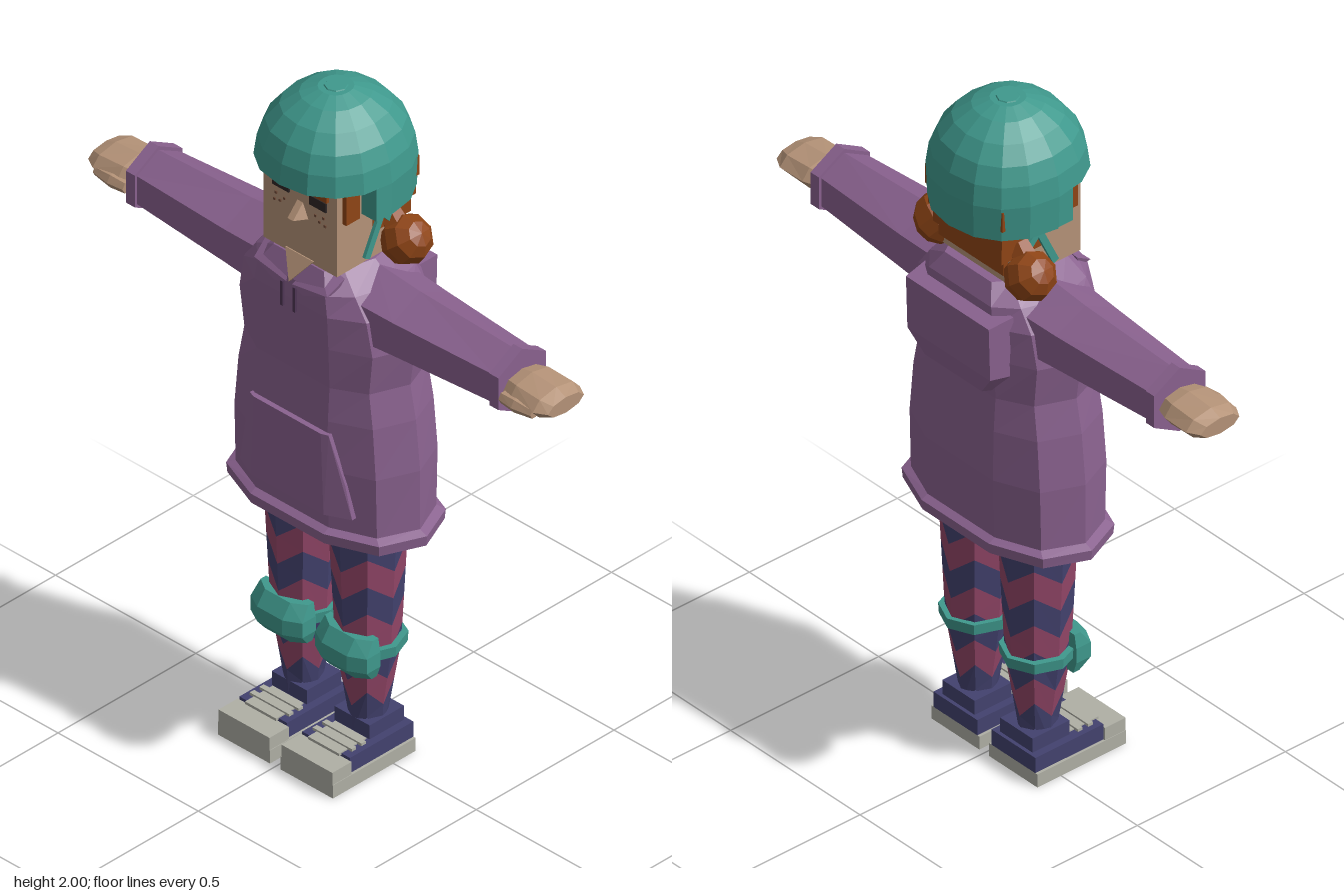
import * as THREE from 'three';
import { ConvexGeometry } from 'three/addons/geometries/ConvexGeometry.js';

const V = (x, y, z) => new THREE.Vector3(x, y, z);
const paint = (name, color) => {
  const m = new THREE.MeshStandardMaterial({ color, side: THREE.DoubleSide });
  m.name = name;
  return m;
};

// Flat-shaded copy of a geometry
function flat(geo) {
  const g = geo.index ? geo.toNonIndexed() : geo;
  g.computeVertexNormals();
  return g;
}

// Skin between rings of points, flat shaded; keep(row, column) picks the faces
function loft(rings, { bottom = true, top = true, keep = () => true } = {}) {
  const p = [], n = rings[0].length;
  const tri = (...vs) => vs.forEach(v => p.push(v.x, v.y, v.z));
  const mid = r => r.reduce((s, v) => s.add(v), V(0, 0, 0)).divideScalar(n);
  for (let k = 0; k < rings.length - 1; k++) for (let i = 0; i < n; i++) {
    if (!keep(k, i)) continue;
    const j = (i + 1) % n, a = rings[k], b = rings[k + 1];
    tri(a[i], a[j], b[j]);
    tri(a[i], b[j], b[i]);
  }
  const first = rings[0], last = rings[rings.length - 1];
  for (let i = 0; i < n; i++) {
    const j = (i + 1) % n;
    if (bottom) tri(mid(first), first[j], first[i]);
    if (top) tri(mid(last), last[i], last[j]);
  }
  const g = new THREE.BufferGeometry();
  g.setAttribute('position', new THREE.Float32BufferAttribute(p, 3));
  return flat(g);
}

// Ring of n points; pow below 1 squares it off
function ring(n, y, rx, rz, start = 0, pow = 1) {
  const f = v => Math.sign(v) * Math.abs(v) ** pow;
  return Array.from({ length: n }, (_, i) => {
    const t = start + i / n * Math.PI * 2;
    return V(rx * f(Math.sin(t)), y, rz * f(Math.cos(t)));
  });
}

// Hoodie cross-section: flat front and back, pointed sides
function bodyRing(y, w, d, a = 0.13) {
  const half = [[a, d], [w * 0.84, d * 0.68], [w, 0], [w * 0.84, -d * 0.68], [a, -d]];
  return [...half, ...half.map(([x, z]) => [-x, z]).reverse()].map(([x, z]) => V(x, y, z));
}

const block = (x, y, z, w, h, d) => flat(new THREE.BoxGeometry(w, h, d).translate(x, y, z));
const hull = pts => new ConvexGeometry(pts.map(p => V(...p)));

// Copy of a geometry on the other side of x = 0
function mirrored(geo) {
  const g = (geo.index ? geo.toNonIndexed() : geo.clone()).scale(-1, 1, 1), p = g.attributes.position;
  for (let i = 0; i < p.count; i += 3) {
    const a = V().fromBufferAttribute(p, i + 1), b = V().fromBufferAttribute(p, i + 2);
    p.setXYZ(i + 1, b.x, b.y, b.z);
    p.setXYZ(i + 2, a.x, a.y, a.z);
  }
  g.computeVertexNormals();
  return g;
}

export function createModel() {
  const model = new THREE.Group();
  model.name = 'skaterChild';
  const purple = paint('hoodiePurple', 0x8a628f), teal = paint('teal', 0x3f998d);
  const skin = paint('skin', 0xb59378), hair = paint('hairOrange', 0x8f4516);
  const navy = paint('navy', 0x43426f), pink = paint('pink', 0x934668);
  const grey = paint('soleGrey', 0xafafa5), dark = paint('dark', 0x2e2626);
  const freckleTone = paint('freckle', 0x6e4a38), cord = paint('cordPurple', 0x4f3655);

  const add = (name, geo, mat) => {
    const m = new THREE.Mesh(geo, mat);
    m.name = name;
    model.add(m);
  };
  const both = (name, geo, mat) => {
    add(name + 'Left', geo, mat);
    add(name + 'Right', mirrored(geo), mat);
  };

  // Hoodie, open at the bottom, with a thick hem
  add('hoodieBody', loft([
    bodyRing(0.75, 0.3, 0.158), bodyRing(0.95, 0.3, 0.165), bodyRing(1.1, 0.285, 0.162),
    bodyRing(1.2, 0.265, 0.156), bodyRing(1.32, 0.282, 0.16), bodyRing(1.42, 0.26, 0.165),
    bodyRing(1.48, 0.21, 0.162, 0.12), bodyRing(1.53, 0.14, 0.135, 0.09),
  ], { bottom: false }), purple);
  add('hem', loft([bodyRing(0.735, 0.28, 0.14), bodyRing(0.73, 0.322, 0.175), bodyRing(0.76, 0.325, 0.178),
    bodyRing(0.772, 0.295, 0.157)], { bottom: false, top: false }), purple);
  const pocket = [];
  for (const s of [-1, 1]) for (const z of [0, 0.03]) pocket.push(
    [s * 0.2, 0.82, 0.115 + z], [s * 0.18, 0.92, 0.12 + z], [s * 0.14, 1.065, 0.14 + z],
    [s * 0.13, 0.82, 0.148 + z], [s * 0.12, 1.065, 0.148 + z]);
  add('pocket', hull(pocket), purple);

  // Hood hanging on the back, with a rolled collar and cords in front
  const hood = [];
  for (const s of [-1, 1]) hood.push([s * 0.16, 1.45, -0.205], [s * 0.16, 1.29, -0.2], [s * 0.11, 1.225, -0.185],
    [s * 0.17, 1.46, -0.13], [s * 0.17, 1.28, -0.13], [s * 0.12, 1.215, -0.14]);
  add('hood', hull(hood), purple);
  both('collar', hull([[0.045, 1.54, 0.11], [0.14, 1.52, 0.11], [0.13, 1.485, 0.165], [0.05, 1.455, 0.172],
    [0.01, 1.47, 0.17], [0.05, 1.46, 0.14], [0.13, 1.48, 0.13]]), purple);
  both('cord', block(0.022, 1.43, 0.172, 0.008, 0.075, 0.008), cord);
  add('neckline', hull([[-0.05, 1.54, 0.133], [0.05, 1.54, 0.133], [0, 1.475, 0.172],
    [-0.05, 1.54, 0.1], [0.05, 1.54, 0.1], [0, 1.47, 0.14]]), skin);

  // Arms stretched sideways: lofted upright, then laid along x
  const lay = g => g.rotateZ(-Math.PI / 2).translate(0, 1.405, 0);
  const hex = (x, ry, rz) => ring(6, x, ry, rz, Math.PI / 6);
  both('sleeve', lay(loft([hex(0.14, 0.115, 0.125), hex(0.3, 0.1, 0.115), hex(0.64, 0.086, 0.09)])), purple);
  both('cuff', lay(loft([hex(0.632, 0.098, 0.1), hex(0.664, 0.098, 0.1)])), purple);
  both('hand', lay(loft([ring(8, 0.65, 0.035, 0.065), ring(8, 0.7, 0.044, 0.083),
    ring(8, 0.785, 0.038, 0.085), ring(8, 0.82, 0.024, 0.065)])), skin);
  const thumb = loft([ring(6, 0.67, 0.018, 0.018), ring(6, 0.72, 0.022, 0.024), ring(6, 0.78, 0.014, 0.014)]);
  both('thumb', lay(thumb).translate(0, -0.01, 0.075), skin);

  // Head and face
  add('head', block(0, 1.665, 0.01, 0.262, 0.27, 0.24), skin);
  add('neck', block(0, 1.5, -0.01, 0.14, 0.1, 0.14), skin);
  add('nose', hull([[-0.01, 1.705, 0.128], [0.01, 1.705, 0.128], [-0.03, 1.66, 0.128], [0.03, 1.66, 0.128],
    [-0.01, 1.663, 0.166], [0.01, 1.663, 0.166]]), skin);
  both('eyebrow', block(0.066, 1.76, 0.134, 0.072, 0.026, 0.009), hair);
  both('eye', block(0.066, 1.727, 0.132, 0.06, 0.028, 0.006), dark);
  for (const [x, y] of [[0.055, 1.685], [0.07, 1.672], [0.085, 1.69], [0.09, 1.668]])
    both('freckle', block(x, y, 0.131, 0.007, 0.007, 0.004), freckleTone);

  // Hair in stepped layers, sideburns and two low buns
  [[1.75, 0.3, 0.15], [1.69, 0.285, 0.145], [1.635, 0.265, 0.137], [1.592, 0.25, 0.125]].forEach(([y, w, back]) =>
    add('backHair', block(0, y, -back / 2, w, 0.06, back), hair));
  both('sideburn', block(0.137, 1.735, 0.085, 0.016, 0.1, 0.05), hair);
  const bun = new THREE.SphereGeometry(0.07, 8, 6).rotateZ(-0.9).translate(0.175, 1.568, -0.078);
  both('bun', flat(bun), hair);
  both('bunRoot', flat(new THREE.CylinderGeometry(0.03, 0.04, 0.08, 6).rotateZ(0.7).translate(0.14, 1.61, -0.07)), hair);

  // Helmet: squared dome, lower at the back, with ear flaps and straps
  const shell = [[1.79, 0.2], [1.85, 0.192], [1.9, 0.173], [1.945, 0.138], [1.98, 0.09], [1.997, 0.045]];
  const cap = (y, r) => ring(16, y, r, r * 1.03, 0, 0.9);
  add('helmetDome', loft(shell.map(([y, r]) => cap(y, r))), teal);
  add('helmetBack', loft([cap(1.79, 0.175), cap(1.69, 0.175), cap(1.69, 0.196), cap(1.79, 0.2)],
    { bottom: false, top: false, keep: (k, i) => i >= 4 && i < 12 }), teal);
  add('helmetTopVent', flat(new THREE.CylinderGeometry(0.03, 0.035, 0.008, 8).translate(0, 1.996, 0)), teal);
  both('earFlap', block(0.167, 1.742, 0.02, 0.054, 0.1, 0.06), teal);
  const strap = (y, z, len, tilt) =>
    flat(new THREE.BoxGeometry(0.01, len, 0.02).rotateX(tilt).translate(0.142, y, z));
  both('frontStrap', strap(1.62, 0.0, 0.16, -0.45), teal);
  both('backStrap', strap(1.64, -0.045, 0.11, 0.75), teal);

  // Legs: zigzag bands in two colours
  const sizes = [[0.08, 0.048, 0.055], [0.14, 0.05, 0.057], [0.33, 0.08, 0.088], [0.75, 0.102, 0.107], [1, 0.102, 0.107]];
  const girth = y => {
    const i = Math.max(1, sizes.findIndex(s => s[0] >= y)), [a, b] = [sizes[i - 1], sizes[i]];
    const t = (y - a[0]) / (b[0] - a[0]);
    return [a[1] + (b[1] - a[1]) * t, a[2] + (b[2] - a[2]) * t];
  };
  const bands = Array.from({ length: 10 }, (_, k) => Array.from({ length: 8 }, (_, i) => {
    const y = 0.08 + 0.086 * k + (i % 2 ? 0.055 : 0);
    return ring(8, y, ...girth(y))[i];
  }));
  [['navyBands', navy, 0], ['pinkBands', pink, 1]].forEach(([name, mat, odd]) =>
    both(name, loft(bands, { bottom: false, top: false, keep: k => k % 2 === odd }).translate(0.115, 0, 0), mat));

  // Knee pads with a strap round the leg
  both('kneeStrap', loft([ring(8, 0.335, 0.096, 0.102), ring(8, 0.366, 0.098, 0.104)]).translate(0.117, 0, 0), teal);
  const pad = [];
  for (const s of [-1, 1]) for (const [y, z, w] of [[0.41, 0.095, 0.085], [0.37, 0.124, 0.092], [0.325, 0.124, 0.092], [0.29, 0.095, 0.08]])
    pad.push([0.115 + s * 0.045, y, z], [0.115 + s * w, y, z - 0.025], [0.115 + s * w, y, 0.05]);
  both('kneePad', hull(pad), teal);

  // Shoes
  both('sole', block(0.112, 0.02, 0.07, 0.186, 0.04, 0.3), grey);
  both('toeCap', block(0.112, 0.058, 0.185, 0.182, 0.04, 0.07), grey);
  both('shoeUpper', block(0.112, 0.062, 0.035, 0.17, 0.05, 0.23), navy);
  both('tongue', block(0.112, 0.087, 0.11, 0.11, 0.008, 0.1), grey);
  for (const z of [0.085, 0.12]) both('lace', block(0.112, 0.092, z, 0.14, 0.008, 0.016), grey);
  both('ankle', block(0.112, 0.107, -0.007, 0.125, 0.046, 0.125), navy);
  return model;
}
